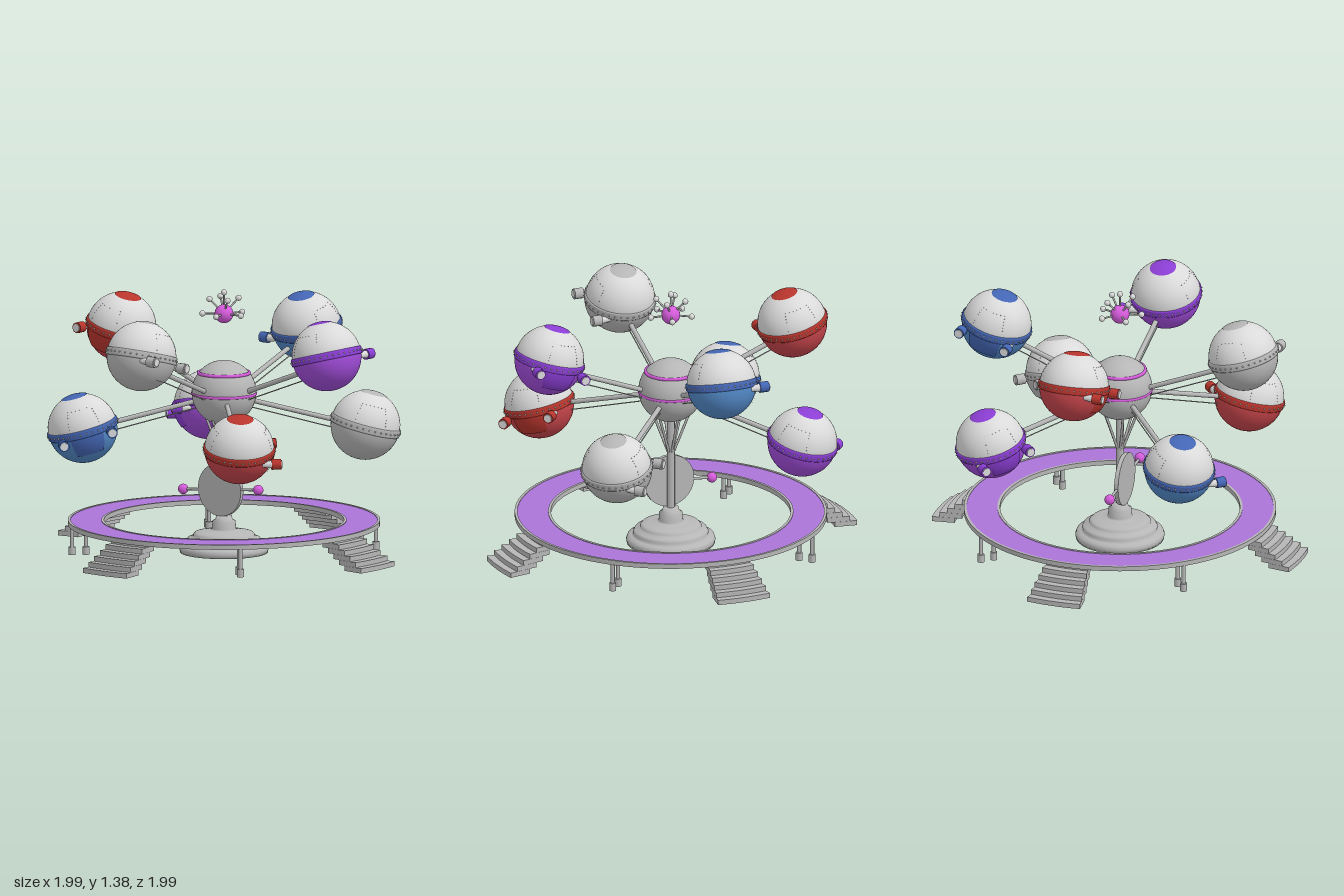
import * as THREE from 'three';
import { mergeGeometries } from 'three/addons/utils/BufferGeometryUtils.js';

const mat = (name, color) => {
  const m = new THREE.MeshStandardMaterial({ color });
  m.name = name;
  return m;
};
const V = (x, y, z) => new THREE.Vector3(x, y, z);
const RAD = Math.PI / 180;

export function createModel() {
  const M = {
    light: mat('light grey', 0xdadada),
    grey: mat('metal grey', 0xb6b6b6),
    red: mat('red', 0xb8352d),
    hullRed: mat('hull red', 0xc4444a),
    blue: mat('blue', 0x4466b4),
    hullBlue: mat('hull blue', 0x5288c6),
    purple: mat('purple', 0x8b3ed4),
    hullPurple: mat('hull purple', 0xa04cd8),
    deck: mat('deck purple', 0xaa74d8),
    magenta: mat('magenta', 0xd65cdc),
  };
  const root = new THREE.Group();
  root.name = 'planetRide';

  const add = (parent, name, geo, material, x = 0, y = 0, z = 0) => {
    const m = new THREE.Mesh(geo, material);
    m.name = name;
    m.position.set(x, y, z);
    parent.add(m);
    return m;
  };
  // round bar between two points
  const bar = (parent, name, a, b, r, material, r2 = r) => {
    const d = b.clone().sub(a);
    const m = add(parent, name, new THREE.CylinderGeometry(r2, r, d.length(), 12), material);
    m.position.copy(a).addScaledVector(d, 0.5);
    m.quaternion.setFromUnitVectors(V(0, 1, 0), d.normalize());
  };
  // flat ring or ring sector lying between two heights
  const sector = (r0, r1, y0, y1, half) => {
    const s = new THREE.Shape();
    if (half) {
      s.absarc(0, 0, r1, -half, half, false);
      s.absarc(0, 0, r0, half, -half, true);
    } else {
      s.absarc(0, 0, r1, 0, Math.PI * 2, false);
      const h = new THREE.Path();
      h.absarc(0, 0, r0, 0, Math.PI * 2, true);
      s.holes.push(h);
    }
    const g = new THREE.ExtrudeGeometry(s, { depth: y1 - y0, bevelEnabled: false, curveSegments: half ? 10 : 72 });
    return g.rotateX(Math.PI / 2).translate(0, y1, 0);
  };
  const lathe = points => new THREE.LatheGeometry(points.map(p => new THREE.Vector2(...p)), 48);
  const hoop = (r, tube) => new THREE.TorusGeometry(r, tube, 8, 48).rotateX(Math.PI / 2);

  // Ring platform
  add(root, 'platform', sector(0.622, 0.81, 0.146, 0.164), M.grey);
  add(root, 'platformCarpet', sector(0.636, 0.796, 0.164, 0.168), M.deck);
  add(root, 'outerRim', sector(0.796, 0.81, 0.164, 0.171), M.grey);
  add(root, 'innerRim', sector(0.622, 0.636, 0.164, 0.171), M.grey);

  // Stepped pedestal
  add(root, 'pedestal', lathe([[0, 0], [0.228, 0], [0.232, 0.02], [0.226, 0.038], [0.205, 0.046], [0.194, 0.048],
    [0.196, 0.062], [0.188, 0.076], [0.16, 0.082], [0.16, 0.094], [0.148, 0.106], [0.11, 0.112], [0.07, 0.118],
    [0.062, 0.125], [0.06, 0.165], [0.045, 0.172], [0.04, 0.195], [0, 0.195]]), M.grey);
  bar(root, 'mast', V(0, 0.18, 0), V(0, 0.72, 0), 0.021, M.grey);
  for (let i = 0; i < 6; i++) {
    const a = (i * 60 + 18) * RAD;
    bar(root, 'mastStrut', V(0, 0.46, 0), V(Math.cos(a) * 0.095, 0.71, Math.sin(a) * 0.095), 0.007, M.grey);
  }

  // Upright disc with two side knobs
  const dial = new THREE.Group();
  dial.name = 'dial';
  dial.position.set(0.005, 0.332, 0.026);
  dial.rotation.set(0, 14 * RAD, 5 * RAD);
  root.add(dial);
  add(dial, 'dialDisc', new THREE.CylinderGeometry(0.139, 0.139, 0.022, 48).rotateX(Math.PI / 2), M.grey);
  for (const s of [-1, 1]) {
    bar(dial, 'knobRod', V(s * 0.12, 0, 0), V(s * 0.23, 0, 0), 0.007, M.grey);
    add(dial, 'knob', new THREE.SphereGeometry(0.027, 20, 14), M.magenta, s * 0.245, 0, 0);
  }

  // Central hub globe with stripes
  add(root, 'hub', new THREE.SphereGeometry(0.168, 48, 32), M.grey, 0, 0.84, 0);
  add(root, 'hubUpperStripe', hoop(0.131, 0.009), M.magenta, 0, 0.943, 0);
  add(root, 'hubMiddleStripe', hoop(0.163, 0.009), M.magenta, 0, 0.835, 0);

  // Spiky star above the hub
  add(root, 'starCore', new THREE.SphereGeometry(0.049, 24, 16), M.magenta, 0, 1.253, 0);
  const spike = (el, az) => {
    const d = V(Math.cos(el) * Math.cos(az), Math.sin(el), Math.cos(el) * Math.sin(az));
    const c = V(0, 1.253, 0), tip = c.clone().addScaledVector(d, 0.112);
    bar(root, 'starSpike', c, tip, 0.005, M.grey);
    add(root, 'starTip', new THREE.SphereGeometry(0.016, 12, 8), M.light, tip.x, tip.y, tip.z);
  };
  spike(Math.PI / 2, 0);
  for (let i = 0; i < 4; i++) spike(46 * RAD, (i * 90 + 25) * RAD);
  for (let i = 0; i < 5; i++) spike(0, (i * 72 + 60) * RAD);

  // Rivets around the pod belt, plus a riveted window outline on the dome
  const R = 0.181;
  const dots = [];
  const dot = (r, lat, az, size) => dots.push(new THREE.IcosahedronGeometry(size, 0).translate(
    r * Math.cos(lat) * Math.cos(az), r * Math.sin(lat), r * Math.cos(lat) * Math.sin(az)));
  for (let i = 0; i < 36; i++) dot(0.188, 0, i * 10 * RAD, 0.005);
  const beltRivets = mergeGeometries(dots);
  dots.length = 0;
  for (const side of [-90, 90]) {
    for (let i = 0; i <= 6; i++) {
      dot(R, 42 * RAD, (side - 27 + i * 9) * RAD, 0.002);
      for (const s of [-27, 27]) dot(R, (12 + i * 5) * RAD, (side + s) * RAD, 0.002);
    }
  }
  const windowRivets = mergeGeometries(dots);

  // One pod: local x points outward, local -z is the side with the thrusters
  const makePod = (color, hull) => {
    const g = new THREE.Group();
    g.name = 'pod';
    add(g, 'podDome', new THREE.SphereGeometry(R, 40, 16, 0, Math.PI * 2, 0, Math.PI / 2), M.light);
    add(g, 'podHull', new THREE.SphereGeometry(R, 40, 16, 0, Math.PI * 2, Math.PI / 2, Math.PI / 2), hull);
    add(g, 'podCap', new THREE.SphereGeometry(R + 0.003, 32, 6, 0, Math.PI * 2, 0, 0.385), color);
    add(g, 'podBelt', lathe([[0.174, -0.02], [0.184, -0.02], [0.187, -0.014], [0.187, 0.014],
      [0.184, 0.02], [0.174, 0.02]]), color);
    add(g, 'beltRivets', beltRivets, M.light);
    add(g, 'windowRivets', windowRivets, M.grey);
    add(g, 'podDoor', new THREE.SphereGeometry(R + 0.004, 16, 10, Math.PI * 1.5 - 0.5, 1, 1.66, 0.6), color);
    for (const x of [-0.13, 0.13]) {
      bar(g, 'thrusterCone', V(x, -0.03, -0.07), V(x, -0.03, -0.165), 0.008, M.light, 0.022);
      bar(g, 'thrusterRing', V(x, -0.03, -0.155), V(x, -0.03, -0.205), 0.028, color);
      bar(g, 'thrusterNozzle', V(x, -0.03, -0.2), V(x, -0.03, -0.21), 0.021, M.light);
    }
    return g;
  };

  // Eight arms: even ones raised above a staircase, odd ones lowered above a pair of posts
  const bays = [
    [M.purple, M.hullPurple, 1.1], [M.red, M.hullRed, 0.662], [M.grey, M.grey, 1.118], [M.blue, M.hullBlue, 0.665],
    [M.red, M.hullRed, 1.115], [M.purple, M.hullPurple, 0.655], [M.blue, M.hullBlue, 1.1], [M.grey, M.grey, 0.655],
  ];
  bays.forEach(([color, hull, height], k) => {
    const high = k % 2 === 0;
    const bay = new THREE.Group();
    bay.name = high ? 'raisedBay' : 'loweredBay';
    bay.rotation.y = -(k * 45 - 12.3) * RAD;
    root.add(bay);

    const pod = makePod(color, hull);
    pod.position.set(high ? 0.683 : 0.738, height, 0);
    pod.rotation.z = (high ? 15 : -15) * RAD;
    bay.add(pod);

    const end = pod.position.clone();
    end.y -= high ? 0.04 : 0.01;
    bar(bay, 'arm', V(0.05, 0.82, 0), end, 0.013, M.grey);
    bar(bay, 'armCable', V(0.05, high ? 0.775 : 0.785, 0), end.clone().add(V(0, -0.045, 0)), 0.003, M.grey);

    if (high) {
      // curved staircase
      const stairs = new THREE.Group();
      stairs.name = 'stairs';
      stairs.rotation.y = k === 0 ? 2.7 * RAD : 0;
      bay.add(stairs);
      for (let i = 0; i < 6; i++) {
        const r1 = 0.998 - i * 0.04;
        add(stairs, 'stairStep', sector(r1 - 0.12, r1, 0.003 + i * 0.0265, 0.029 + i * 0.0265, 8.4 * RAD), M.grey);
      }
    } else {
      // support posts
      for (const r of [0.72, 0.793]) {
        bar(bay, 'post', V(r, 0.03, 0), V(r, 0.15, 0), 0.011, M.grey);
        bar(bay, 'postFoot', V(r, 0, 0), V(r, 0.042, 0), 0.018, M.grey);
      }
    }
  });

  return root;
}
